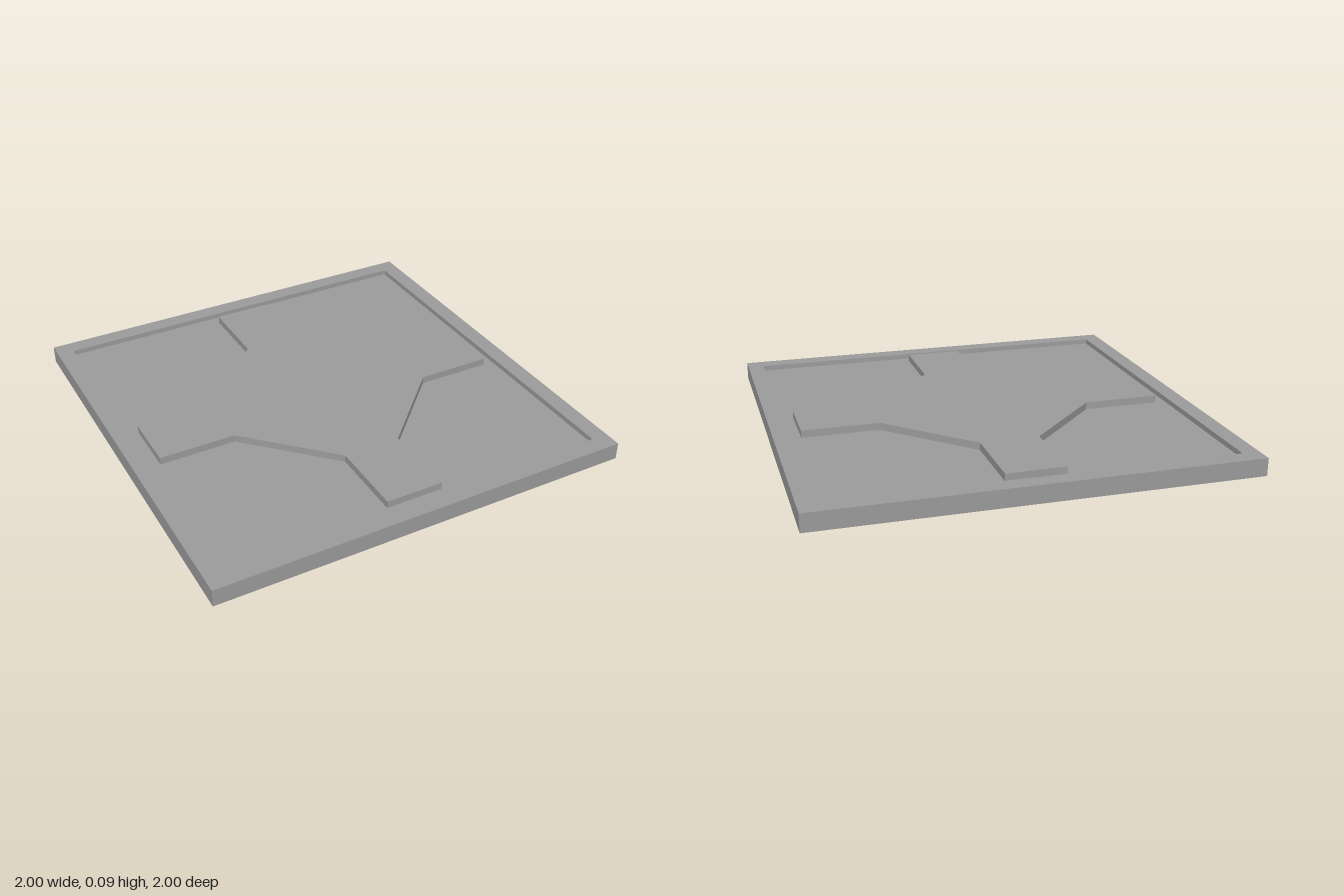
import * as THREE from 'three';

const INNER = 0.92;   // half width of the recess
const RADIUS = 0.012; // recess corner radius
const RIM_TOP = 0.083;
const FLOOR_TOP = 0.058;
const CROSS_TOP = 0.093;

// Square with small rounded corners, used for the recess
function recessOutline(Type) {
  const path = new Type();
  const c = INNER - RADIUS;
  const corners = [[c, c], [-c, c], [-c, -c], [c, -c]];
  corners.forEach(([x, y], i) => {
    path.absarc(x, y, RADIUS, i * Math.PI / 2, (i + 1) * Math.PI / 2, false);
  });
  path.closePath();
  return path;
}

// Extrude a ground-plan shape upwards between two heights
function slab(name, shape, bottom, top, material) {
  const geometry = new THREE.ExtrudeGeometry(shape, {
    depth: top - bottom, bevelEnabled: false, curveSegments: 4,
  });
  geometry.rotateX(-Math.PI / 2);
  geometry.translate(0, bottom, 0);
  const mesh = new THREE.Mesh(geometry, material);
  mesh.name = name;
  return mesh;
}

export function createModel() {
  const group = new THREE.Group();
  group.name = 'floorTile';
  const grey = new THREE.MeshStandardMaterial({ color: 0x9c9c9c });
  grey.name = 'grey';

  // Square outer rim around the recess
  const rim = new THREE.Shape([[-1, -1], [1, -1], [1, 1], [-1, 1]]
    .map(([x, y]) => new THREE.Vector2(x, y)));
  rim.holes.push(recessOutline(THREE.Path));
  group.add(slab('rim', rim, 0, RIM_TOP, grey));

  // Sunken floor inside the rim
  group.add(slab('recessedFloor', recessOutline(THREE.Shape), 0, FLOOR_TOP, grey));

  // Raised cross with diagonal shoulders: one arm repeated four times
  const arm = [[0.87, -0.137], [0.87, 0.137], [0.507, 0.137]];
  const points = [];
  for (let i = 0; i < 4; i++) {
    for (const [x, y] of [[0.507, -0.137], ...arm]) {
      points.push(new THREE.Vector2(x, y).rotateAround(new THREE.Vector2(), i * Math.PI / 2));
    }
  }
  group.add(slab('raisedCross', new THREE.Shape(points), FLOOR_TOP, CROSS_TOP, grey));

  return group;
}
